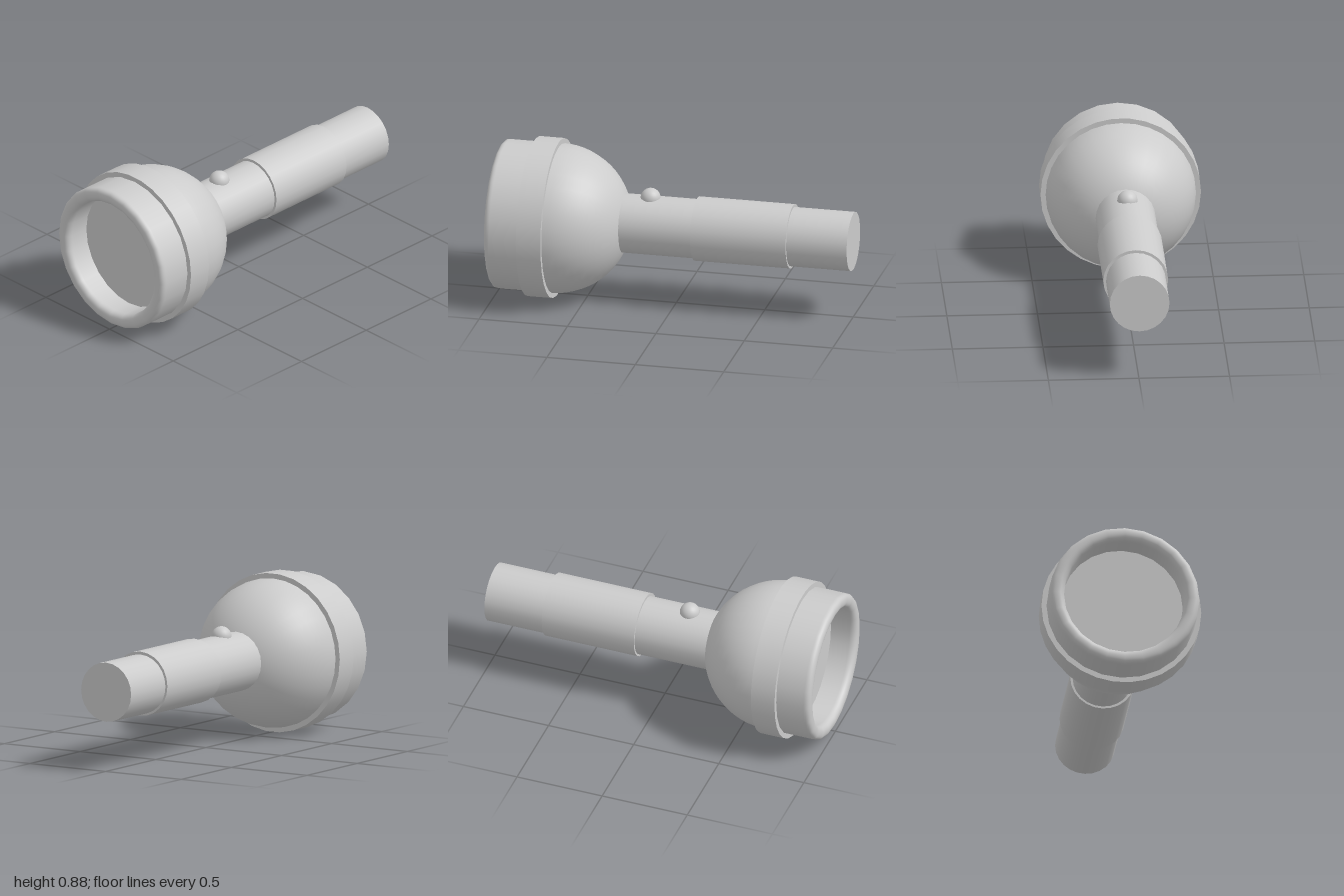
import * as THREE from 'three';

const AXIS_Y = 0.441;

export function createModel() {
  const group = new THREE.Group();
  const material = new THREE.MeshStandardMaterial({ color: 0xcccccc });

  const add = (name, geometry, x, y, z) => {
    const mesh = new THREE.Mesh(geometry, material);
    mesh.name = name;
    mesh.position.set(x, y, z);
    group.add(mesh);
    return mesh;
  };

  // closed cylinder lying along z, from zBack to zFront
  const barrel = (name, radius, zBack, zFront, sides, x = 0, y = AXIS_Y) => {
    const geometry = new THREE.CylinderGeometry(radius, radius, zFront - zBack, sides);
    geometry.rotateX(Math.PI / 2);
    return add(name, geometry, x, y, (zBack + zFront) / 2);
  };

  // surface of revolution around z; profile points are (radius, z)
  const turned = (name, points, sides) => {
    const geometry = new THREE.LatheGeometry(points, sides);
    geometry.rotateX(Math.PI / 2);
    return add(name, geometry, 0, AXIS_Y, 0);
  };

  // Reflector dome: back half of a sphere
  const dome = [];
  for (let i = 0; i <= 16; i++) {
    const a = (i / 16) * Math.PI / 2;
    dome.push(new THREE.Vector2(0.415 * Math.sin(a), 0.675 - 0.415 * Math.cos(a)));
  }
  turned('reflectorDome', dome, 32);

  // Head shell with a rounded front rim and a recessed bore
  const rim = new THREE.Path();
  rim.moveTo(0.415, 0.67);
  rim.lineTo(0.415, 0.965);
  rim.bezierCurveTo(0.415, 0.99, 0.4, 1, 0.375, 1);
  rim.bezierCurveTo(0.35, 1, 0.335, 0.985, 0.335, 0.96);
  rim.lineTo(0.335, 0.84);
  turned('headRim', rim.getPoints(8), 24);

  // Lens set back inside the rim
  const lens = add('lens', new THREE.CircleGeometry(0.337, 24), 0, AXIS_Y, 0.85);
  lens.rotation.z = Math.PI / 2;

  // Faceted collar, resting on one flat side
  const collar = barrel('collar', 0.443, 0.667, 0.806, 30);
  collar.rotation.z = Math.PI / 2;

  // Handle, grip sleeve and switch
  barrel('handle', 0.165, -1, 0.32, 24, -0.004, 0.443);
  barrel('gripSleeve', 0.179, -0.658, -0.117, 24, -0.003, 0.445);
  add('switchButton', new THREE.SphereGeometry(0.056, 24, 16), -0.005, 0.602, 0.147);

  return group;
}
